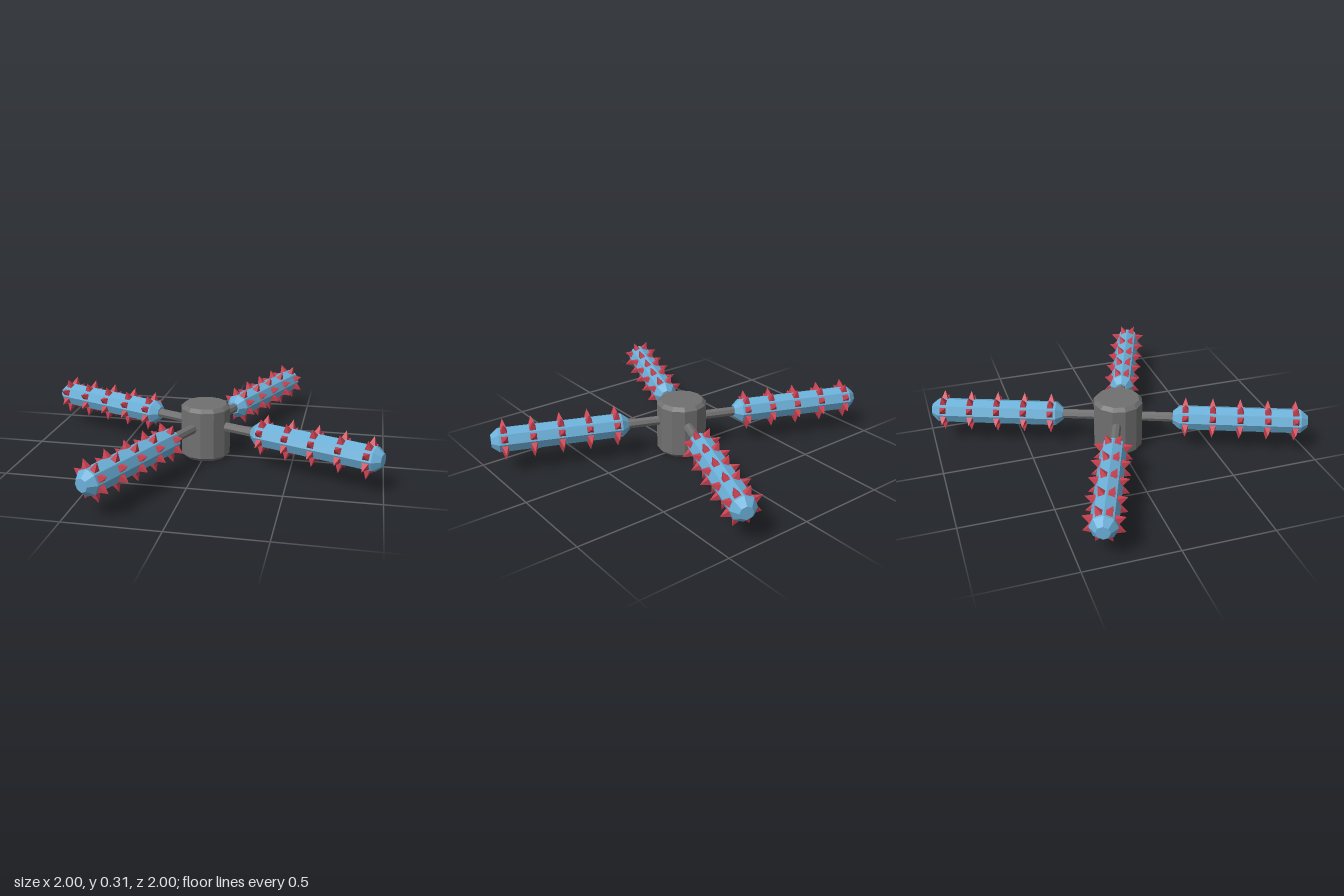
import * as THREE from 'three';

const flat = (color) => new THREE.MeshStandardMaterial({ color, flatShading: true });

// Low-poly turned solid along y; profile runs from bottom to top
function turned(profile, sides) {
  return new THREE.LatheGeometry(profile.map(([r, y]) => new THREE.Vector2(r, y)), sides);
}

export function createModel() {
  const grey = flat(0x707070), blue = flat(0x6bb0d8), red = flat(0xcc4152);
  const model = new THREE.Group();
  const armHeight = 0.19, roller = { start: 0.31, end: 1.06, radius: 0.07, tip: 0.036, bevel: 0.04 };

  const add = (parent, name, geometry, material) => {
    const mesh = new THREE.Mesh(geometry, material);
    mesh.name = name;
    parent.add(mesh);
    return mesh;
  };

  // Central hub with bevelled rims
  add(model, 'hub', turned([[0, 0], [0.12, 0], [0.14, 0.02], [0.14, 0.285], [0.12, 0.305], [0, 0.305]], 12), grey);

  // Shared arm geometries, laid along +x
  const rodGeo = new THREE.CylinderGeometry(0.027, 0.027, 0.3, 8).rotateZ(-Math.PI / 2).translate(0.2, 0, 0);
  const { start, end, radius, tip, bevel } = roller;
  const rollerGeo = turned([
    [0, start], [tip, start], [radius, start + bevel],
    [radius, end - bevel], [tip, end], [0, end],
  ], 8).rotateZ(-Math.PI / 2);
  const spikeGeo = new THREE.ConeGeometry(0.027, 0.053, 4).rotateY(Math.PI / 4).translate(0, 0.0865, 0);

  // Four spiked arms
  for (let i = 0; i < 4; i++) {
    const arm = new THREE.Group();
    arm.name = 'arm' + (i + 1);
    arm.position.y = armHeight;
    arm.rotation.y = THREE.MathUtils.degToRad(-21.5 + i * 90);
    add(arm, 'rod', rodGeo, grey);
    add(arm, 'roller', rollerGeo, blue);

    // Five rings of spikes, one on each roller face
    const spikes = new THREE.Group();
    spikes.name = 'spikes';
    for (let ring = 0; ring < 5; ring++) {
      for (let side = 0; side < 8; side++) {
        const spike = add(spikes, 'spike', spikeGeo, red);
        spike.position.x = 0.38 + ring * 0.1525;
        spike.rotation.x = (side + 0.5) * Math.PI / 4;
      }
    }
    arm.add(spikes);
    model.add(arm);
  }
  return model;
}
